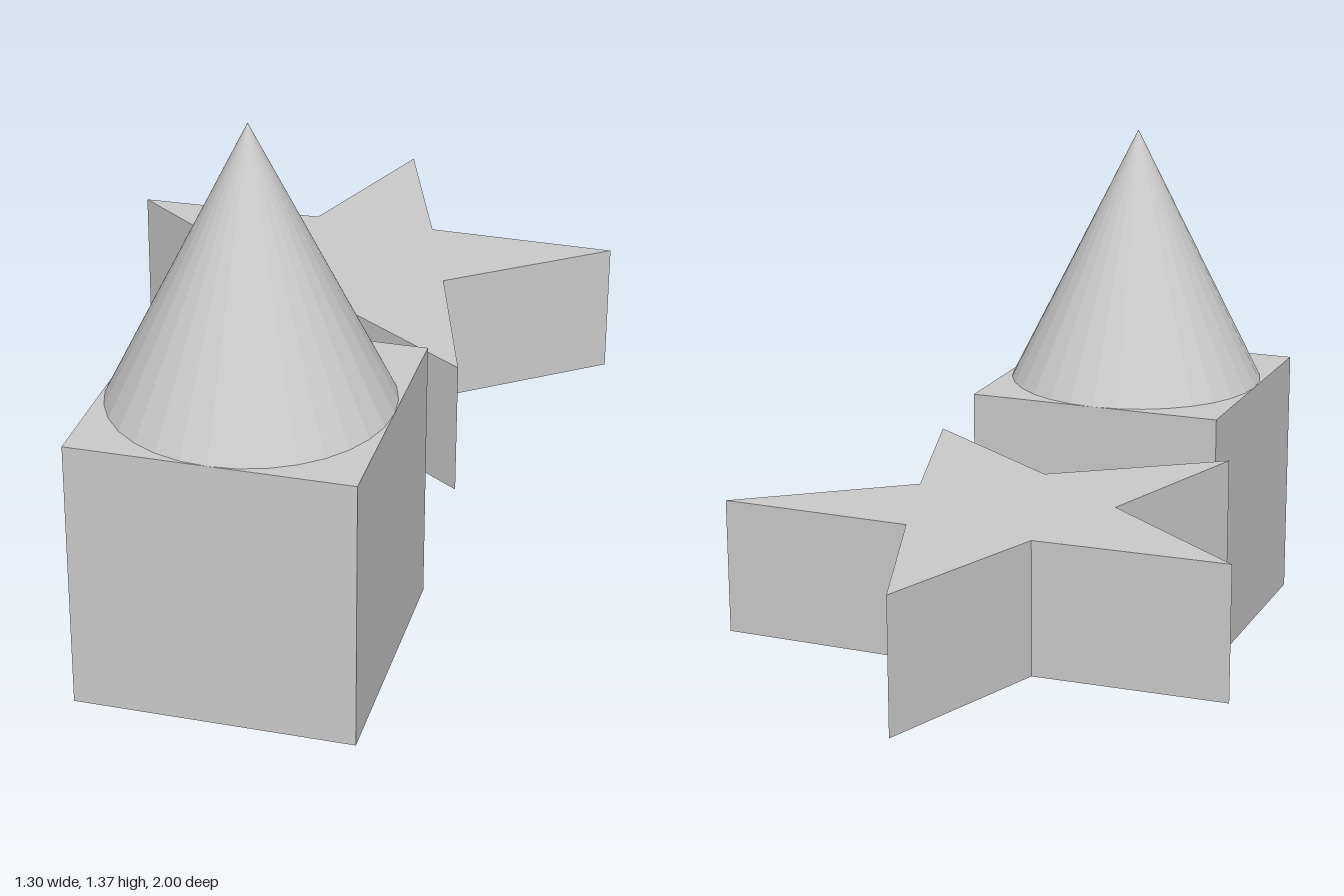
import * as THREE from 'three';

const SIZE = 0.686; // cube edge, cone height and star radius

export function createModel() {
  const group = new THREE.Group();
  const material = new THREE.MeshStandardMaterial({ color: 0xcccccc, flatShading: true });

  function add(name, geometry, x, y, z) {
    const mesh = new THREE.Mesh(geometry, material);
    mesh.name = name;
    mesh.position.set(x, y, z);
    group.add(mesh);
  }

  // Cube standing on the ground, with a cone as wide as its top
  const frontZ = 1 - SIZE / 2;
  add('cube', new THREE.BoxGeometry(SIZE, SIZE, SIZE), 0, SIZE / 2, frontZ);
  add('cone', new THREE.ConeGeometry(SIZE / 2, SIZE, 32), 0, SIZE * 1.5, frontZ);

  // Thick five-pointed star lying flat behind, one point to the back
  const points = [];
  for (let i = 0; i < 10; i++) {
    const radius = i % 2 ? SIZE * 0.4 : SIZE;
    const angle = Math.PI / 2 + (i * Math.PI) / 5;
    points.push(new THREE.Vector2(radius * Math.cos(angle), radius * Math.sin(angle)));
  }
  const star = new THREE.ExtrudeGeometry(new THREE.Shape(points), { depth: SIZE / 2, bevelEnabled: false });
  star.rotateX(-Math.PI / 2);
  add('star', star, 0, 0.26, SIZE - 1);

  return group;
}
